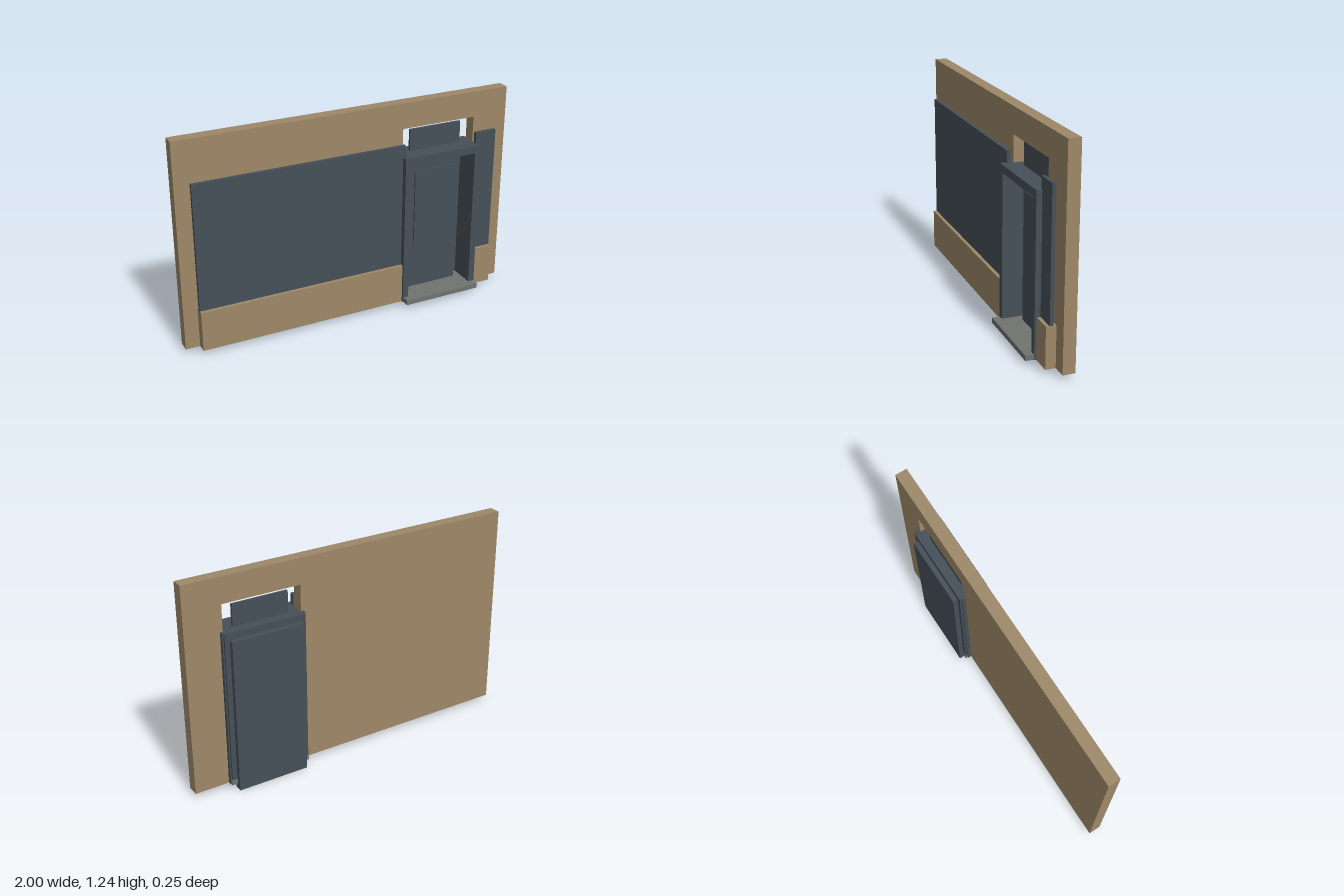
import * as THREE from 'three';

export function createModel() {
  const model = new THREE.Group();
  const mat = (name, color) => {
    const m = new THREE.MeshStandardMaterial({ color });
    m.name = name;
    return m;
  };
  const tan = mat('tan wall', 0x9e8868);
  const slate = mat('slate paint', 0x465058);
  const grey = mat('grey sill', 0x70736e);

  const add = (name, geometry, material) => {
    const mesh = new THREE.Mesh(geometry, material);
    mesh.name = name;
    model.add(mesh);
    return mesh;
  };
  // Box given by its limits on each axis
  const box = (name, material, x0, x1, y0, y1, z0, z1) => {
    const g = new THREE.BoxGeometry(x1 - x0, y1 - y0, z1 - z0);
    g.translate((x0 + x1) / 2, (y0 + y1) / 2, (z0 + z1) / 2);
    return add(name, g, material);
  };
  // Door-shaped arch: outer outline with an inner notch open at the bottom
  const portal = (name, material, [ox0, ox1, oTop], [ix0, ix1, iTop], y0, z0, z1) => {
    const shape = new THREE.Shape([
      [ox0, y0], [ix0, y0], [ix0, iTop], [ix1, iTop],
      [ix1, y0], [ox1, y0], [ox1, oTop], [ox0, oTop],
    ].map(([x, y]) => new THREE.Vector2(x, y)));
    const g = new THREE.ExtrudeGeometry(shape, { depth: z1 - z0, bevelEnabled: false });
    g.translate(0, 0, z0);
    return add(name, g, material);
  };

  // Wall with the doorway cut out
  portal('wall', tan, [-1, 1, 1.24], [0.327, 0.785, 1.09], 0.03, -0.06, 0.01);

  // Cladding on either side of the doorway
  for (const [side, x0, x1] of [['right', -0.918, 0.327], ['left', 0.785, 0.916]]) {
    box(side + 'LowerCladding', tan, x0, x1, 0.03, 0.266, 0.01, 0.067);
    box(side + 'UpperPanel', slate, x0, x1, 0.266, 1.005, 0.026, 0.047);
  }

  // Door frame: front casing, lining in the wall, stepped back casing
  const inner = [0.347, 0.763, 0.893];
  portal('frontCasing', slate, [0.311, 0.801, 0.938], inner, 0.03, 0.01, 0.079);
  portal('frameLining', slate, [0.328, 0.784, 0.938], inner, 0.03, -0.06, 0.01);
  portal('backCasing', slate, [0.311, 0.801, 0.938], inner, 0.03, -0.081, -0.06);
  portal('backCasingStep', slate, [0.319, 0.793, 0.938], inner, 0.06, -0.093, -0.081);

  // Threshold
  box('sill', grey, 0.315, 0.797, 0.031, 0.06, -0.096, 0.125);

  // Outer door slab on the back
  box('outerDoor', slate, 0.345, 0.765, 0, 0.895, -0.121, -0.076);

  // Inner door leaf with raised panel, and transom above the frame
  box('doorLeaf', slate, 0.391, 0.718, 0.06, 0.867, -0.038, -0.023);
  box('doorRaisedPanel', slate, 0.428, 0.68, 0.327, 0.81, -0.023, -0.013);
  box('transom', slate, 0.391, 0.718, 0.9, 1.065, -0.038, -0.023);

  return model;
}
